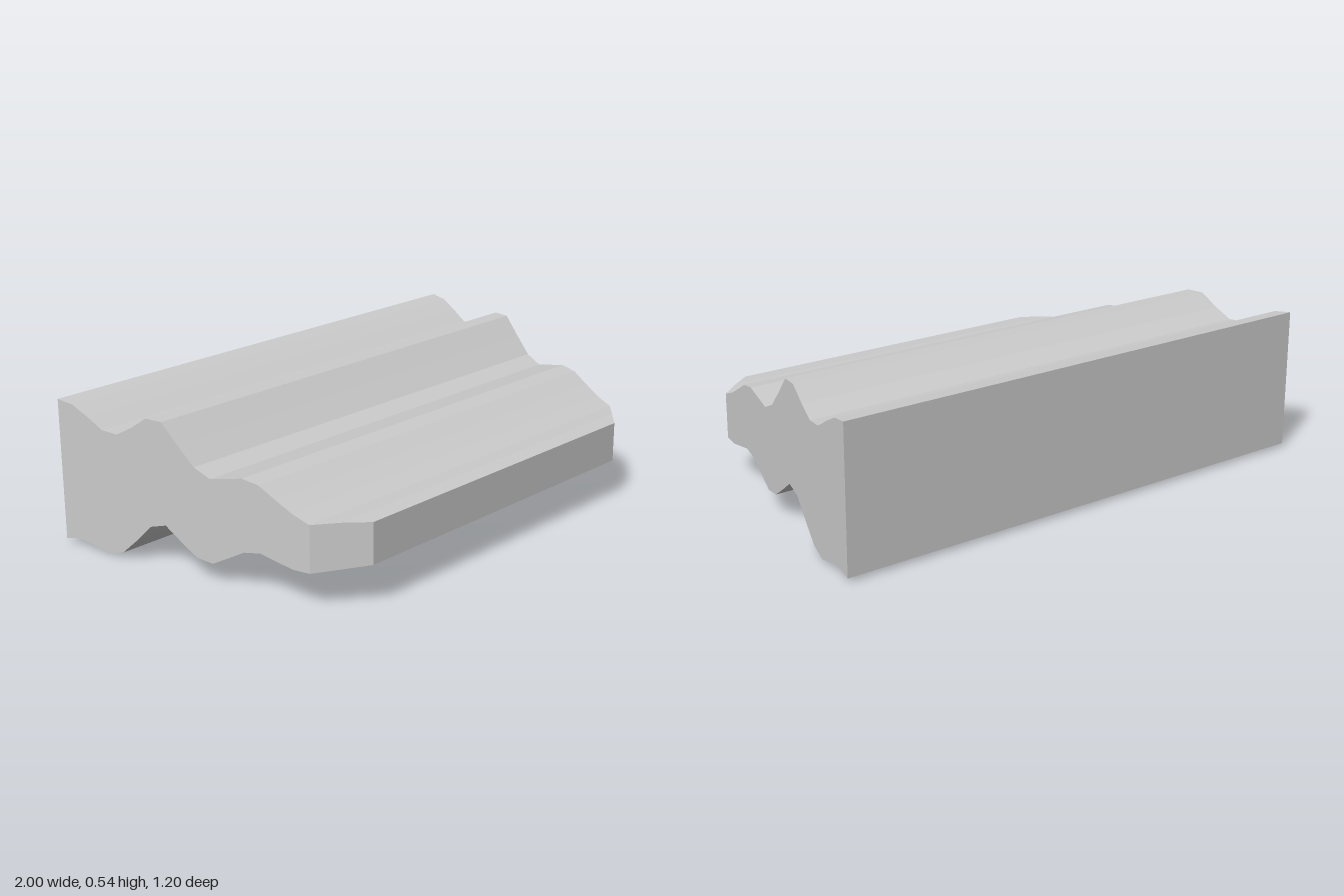
import * as THREE from 'three';

// Top and bottom heights of the wavy slab, evenly spaced from front to back
const TOP = [0.31, 0.313, 0.31, 0.333, 0.367, 0.403, 0.412, 0.397, 0.382, 0.41,
  0.475, 0.543, 0.543, 0.497, 0.46, 0.463, 0.5, 0.532, 0.54];
const BOTTOM = [0.16, 0.15, 0.14, 0.138, 0.15, 0.163, 0.15, 0.113, 0.077, 0.083,
  0.125, 0.17, 0.15, 0.083, 0.022, 0, 0.017, 0.028, 0.015];
const DEPTH = 1.195;
const CHAMFER_Z = 0.465;

// Plan outline: tapered sides with chamfered front corners
function halfWidth(z) {
  const front = DEPTH / 2;
  return z > CHAMFER_Z
    ? THREE.MathUtils.mapLinear(z, CHAMFER_Z, front, 0.825, 0.667)
    : THREE.MathUtils.mapLinear(z, -front, CHAMFER_Z, 1, 0.825);
}

function wavySlabGeometry() {
  const last = TOP.length - 1;
  // Rectangular cross-sections, counterclockwise seen from the front
  const sections = TOP.map((top, i) => {
    const z = DEPTH * (0.5 - i / last);
    const w = halfWidth(z);
    const bottom = BOTTOM[i];
    return [[-w, bottom, z], [w, bottom, z], [w, top, z], [-w, top, z]];
  });

  const positions = [];
  const quad = (a, b, c, d) => positions.push(...a, ...b, ...c, ...a, ...c, ...d);

  // Bottom, sides and top between neighbouring sections
  for (let i = 0; i < last; i++) {
    const front = sections[i];
    const back = sections[i + 1];
    for (let j = 0; j < 4; j++) {
      const k = (j + 1) % 4;
      quad(front[j], back[j], back[k], front[k]);
    }
  }
  // Front and back faces
  quad(...sections[0]);
  quad(...[...sections[last]].reverse());

  const geometry = new THREE.BufferGeometry();
  geometry.setAttribute('position', new THREE.Float32BufferAttribute(positions, 3));
  geometry.computeVertexNormals();
  return geometry;
}

export function createModel() {
  const model = new THREE.Group();
  model.name = 'wavyWedge';
  const material = new THREE.MeshStandardMaterial({ color: 0xcccccc, flatShading: true });
  const slab = new THREE.Mesh(wavySlabGeometry(), material);
  slab.name = 'wavySlab';
  model.add(slab);
  return model;
}
